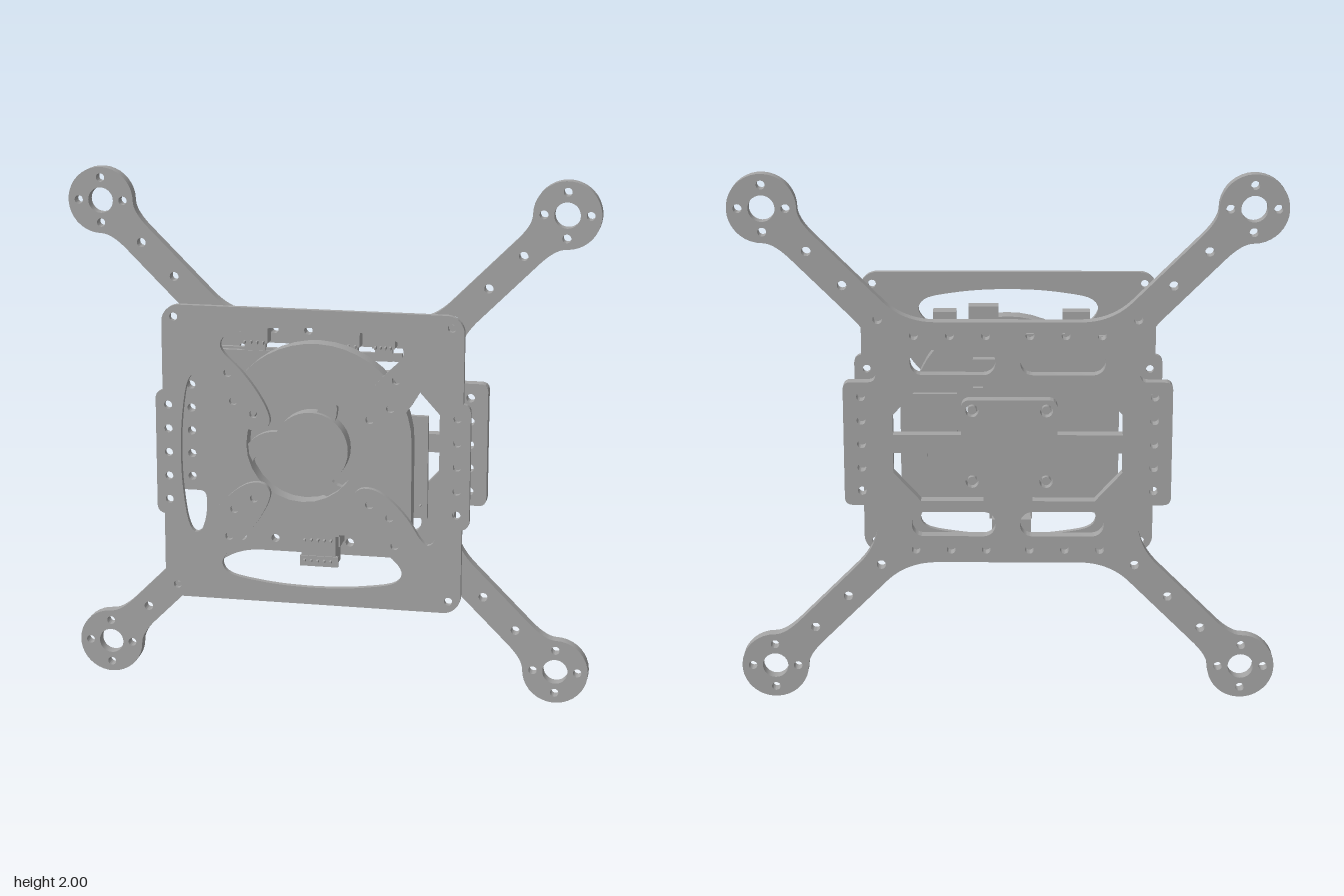
import * as THREE from 'three';
import { toCreasedNormals } from 'three/addons/utils/BufferGeometryUtils.js';

const S = Math.SQRT1_2;

export function createModel() {
  const model = new THREE.Group();
  const grey = new THREE.MeshStandardMaterial({ color: 0xa4a4a4 });
  grey.name = 'plain grey';

  const add = (name, geometry, x = 0, y = 0, z = 0, parent = model) => {
    const mesh = new THREE.Mesh(geometry, grey);
    mesh.name = name;
    mesh.position.set(x, y, z);
    parent.add(mesh);
    return mesh;
  };
  const group = (name) => {
    const g = new THREE.Group();
    g.name = name;
    model.add(g);
    return g;
  };
  // box given by its limits
  const box = (name, x0, x1, y0, y1, z0, z1, parent = model) =>
    add(name, new THREE.BoxGeometry(x1 - x0, y1 - y0, z1 - z0),
      (x0 + x1) / 2, (y0 + y1) / 2, (z0 + z1) / 2, parent);
  const slab = (shape, depth) => toCreasedNormals(
    new THREE.ExtrudeGeometry(shape, { depth, bevelEnabled: false, curveSegments: 14 }), 0.5);

  // mirror a quarter outline (+x axis round to +y axis) into a closed loop
  const fourFold = (quarter) => {
    const flip = (sx, sy) => quarter.map((p) => new THREE.Vector2(p.x * sx, p.y * sy));
    const all = [...quarter, ...flip(-1, 1).reverse(), ...flip(-1, -1), ...flip(1, -1).reverse()];
    return all.filter((p, i) => p.distanceTo(all[(i + 1) % all.length]) > 1e-5);
  };
  const hole = (shape, x, y, r) => {
    const p = new THREE.Path();
    p.absarc(x, y, r, 0, Math.PI * 2, true);
    shape.holes.push(p);
  };
  const holes4 = (shape, x, y, r) => {
    for (const sx of [-1, 1]) for (const sy of [-1, 1]) hole(shape, x * sx, y * sy, r);
  };
  const roundRect = (Type, cx, cy, w, h, r) => {
    const p = new Type(), a = w / 2 - r, b = h / 2 - r, q = Math.PI / 2;
    p.absarc(cx + a, cy + b, r, 0, q);
    p.absarc(cx - a, cy + b, r, q, 2 * q);
    p.absarc(cx - a, cy - b, r, 2 * q, 3 * q);
    p.absarc(cx + a, cy - b, r, 3 * q, 4 * q);
    p.closePath();
    return p;
  };

  // rear frame: body, side tabs, four arms and round motor mounts
  const M = 0.875;
  const arm = (u, v) => [M - u * S + v * S, M - u * S - v * S];
  const fq = new THREE.Path();
  fq.moveTo(0.6, 0);
  fq.lineTo(0.6, 0.205);
  fq.quadraticCurveTo(0.6, 0.235, 0.57, 0.235);
  fq.lineTo(0.51, 0.235);
  fq.quadraticCurveTo(0.48, 0.235, 0.48, 0.265);
  fq.lineTo(0.48, 0.3);
  fq.quadraticCurveTo(0.48, 0.395, 0.56, 0.475);
  fq.lineTo(...arm(0.2, 0.06));
  fq.quadraticCurveTo(...arm(0.117, 0.06), ...arm(0.0884, 0.0884));
  fq.absarc(M, M, 0.125, -Math.PI / 2, Math.PI);
  fq.quadraticCurveTo(...arm(0.117, -0.06), ...arm(0.2, -0.06));
  fq.lineTo(0.45, 0.535);
  fq.quadraticCurveTo(0.375, 0.46, 0.26, 0.46);
  fq.lineTo(0, 0.46);
  const frame = new THREE.Shape(fourFold(fq.getPoints(14)));
  holes4(frame, M, M, 0.048);
  for (const [dx, dy] of [[1, 0], [-1, 0], [0, 1], [0, -1]])
    holes4(frame, M + dx * 0.085, M + dy * 0.085, 0.016);
  for (const d of [0.72, 0.595, 0.47]) holes4(frame, d, d, 0.017);
  for (const [x, y] of [[0.535, 0.18], [0.535, 0.09], [0.21, 0.41], [0.34, 0.41], [0.08, 0.41]])
    holes4(frame, x, y, 0.016);
  for (const s of [-1, 1]) {
    hole(frame, s * 0.535, 0, 0.016);
    for (const t of [-1, 1]) {
      // long slot and chamfered side window
      frame.holes.push(roundRect(THREE.Path, s * 0.2, t * 0.31, 0.31, 0.095, 0.045));
      frame.holes.push(new THREE.Path([[0.09, 0.035], [0.42, 0.035], [0.42, 0.11], [0.32, 0.22], [0.09, 0.22]]
        .map(([x, y]) => new THREE.Vector2(x * s, y * t))));
    }
  }
  add('rearFrame', slab(frame, 0.045), 0, 1, -0.17);

  // square block on the back with four screws
  const block = roundRect(THREE.Shape, 0, 0, 0.35, 0.35, 0.03);
  holes4(block, 0.135, 0.135, 0.024);
  add('backBlock', slab(block, 0.042), -0.005, 1.005, -0.212);
  for (const sx of [-1, 1]) for (const sy of [-1, 1]) {
    const screw = add('blockScrew', new THREE.CylinderGeometry(0.016, 0.016, 0.035, 14),
      -0.005 + sx * 0.135, 1.005 + sy * 0.135, -0.188);
    screw.rotation.x = Math.PI / 2;
  }

  // front plate: side tabs and a large opening with four inward fingers
  const pq = new THREE.Path();
  pq.moveTo(0.582, 0);
  pq.lineTo(0.582, 0.2);
  pq.quadraticCurveTo(0.582, 0.23, 0.555, 0.235);
  pq.lineTo(0.555, 0.49);
  pq.absarc(0.49, 0.49, 0.065, 0, Math.PI / 2);
  pq.lineTo(0, 0.555);
  const plate = new THREE.Shape(fourFold(pq.getPoints(10)));
  const opening = new THREE.SplineCurve([
    [0.49, 0], [0.485, 0.12], [0.467, 0.25], [0.44, 0.3], [0.405, 0.28], [0.36, 0.21],
    [0.3, 0.145], [0.24, 0.105], [0.185, 0.1], [0.155, 0.13], [0.165, 0.18], [0.205, 0.25],
    [0.26, 0.32], [0.325, 0.385], [0.335, 0.425], [0.3, 0.458], [0.2, 0.477], [0.1, 0.487], [0, 0.49],
  ].map(([x, y]) => new THREE.Vector2(x, y)));
  plate.holes.push(new THREE.Path(fourFold(opening.getPoints(60))));
  for (const [x, y] of [[0.51, 0.51], [0.215, 0.16], [0.29, 0.205], [0.31, 0.31], [0.535, 0.18], [0.535, 0.09]])
    holes4(plate, x, y, 0.015);
  for (const s of [-1, 1]) hole(plate, s * 0.535, 0, 0.015);
  add('frontPlate', slab(plate, 0.022), 0, 1.005, 0.188);

  // blower housing with round intake, hub and curved vanes
  const fan = group('blower');
  const housing = new THREE.Shape();
  housing.moveTo(0.357, 0.7);
  housing.lineTo(0.357, 1.063);
  housing.absarc(0, 1.063, 0.357, 0, Math.PI * 1.25);
  housing.lineTo(-0.252, 0.7);
  hole(housing, -0.05, 1.03, 0.21);
  add('blowerHousing', slab(housing, 0.065), 0, 0, 0.07, fan);
  const hub = add('blowerHub', new THREE.CylinderGeometry(0.14, 0.14, 0.06, 40), -0.02, 1.02, 0.1, fan);
  hub.rotation.x = Math.PI / 2;
  for (const a of [0.9, 3.0, 5.0]) {
    const vane = new THREE.Shape();
    vane.moveTo(0.1, -0.03);
    vane.quadraticCurveTo(0.18, -0.03, 0.225, 0.05);
    vane.lineTo(0.19, 0.1);
    vane.quadraticCurveTo(0.17, 0.04, 0.1, 0.05);
    add('blowerVane', slab(vane, 0.03), -0.04, 1.03, 0.08, fan).rotation.z = a;
  }

  // circuit boards
  const boards = group('circuitBoards');
  box('mainBoard', -0.39, 0.15, 0.71, 1.36, 0.01, 0.028, boards);
  box('sideBoard', 0.19, 0.4, 0.75, 1.14, 0.005, 0.025, boards);
  box('rearBoard', -0.41, -0.15, 0.75, 1.36, -0.042, -0.026, boards);
  box('boardSpacer', -0.36, -0.18, 0.8, 1.3, -0.026, 0.01, boards);
  box('sideChip', 0.3, 0.36, 0.9, 0.96, -0.022, 0.005, boards);
  for (let i = 0; i < 5; i++)
    box('boardChip', 0.04, 0.13, 0.78 + i * 0.11, 0.84 + i * 0.11, -0.02, 0.01, boards);
  for (let i = 0; i < 7; i++)
    box('sidePin', 0.205 + i * 0.028, 0.211 + i * 0.028, 0.8, 0.806, 0.025, 0.055, boards);

  // connectors along the top edge
  const top = group('topConnectors');
  for (const [x0, x1, y0, y1] of [[-0.3, -0.2, 1.39, 1.46], [0.035, 0.145, 1.39, 1.48], [0.19, 0.275, 1.39, 1.46]]) {
    box('connectorBody', x0, x1, y0, y1, -0.02, 0.035, top);
    box('connectorFoot', x0 + 0.01, x1 - 0.01, 1.34, y0, 0, 0.025, top);
    for (let i = 0; i < 4; i++) {
      const x = x0 + 0.012 + i * (x1 - x0 - 0.03) / 3;
      box('connectorPin', x, x + 0.007, 1.39, 1.4, 0.035, 0.06, top);
    }
  }
  box('topStrip', -0.3, 0.3, 1.34, 1.37, 0.005, 0.02, top);

  // large socket at the bottom edge
  const socket = group('bottomSocket');
  box('socketBody', -0.075, 0.055, 0.54, 0.68, -0.07, 0.03, socket);
  box('socketBack', -0.085, 0.06, 0.6, 0.69, -0.12, -0.03, socket);
  box('socketFlange', -0.09, 0.07, 0.66, 0.69, -0.02, 0.035, socket);
  box('socketBase', -0.08, 0.065, 0.54, 0.58, 0.02, 0.035, socket);
  for (const y of [0.56, 0.64]) for (let i = 0; i < 5; i++)
    box('socketPin', -0.065 + i * 0.025, -0.057 + i * 0.025, y, y + 0.008, 0.03, 0.055, socket);

  return model;
}
